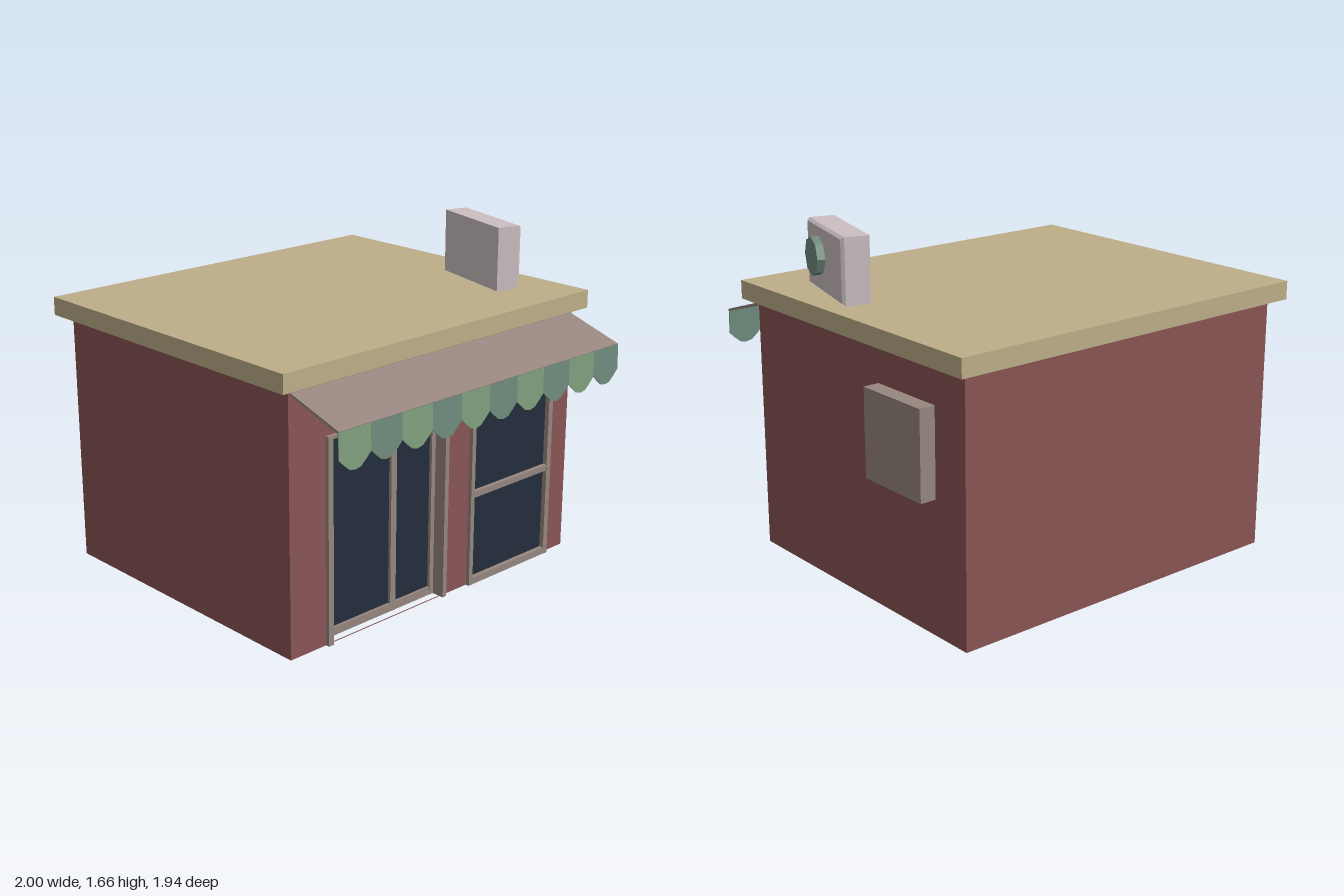
import * as THREE from 'three';

const mat = (name, color, side = THREE.FrontSide) => {
  const m = new THREE.MeshStandardMaterial({ color, side });
  m.name = name;
  return m;
};

export function createModel() {
  const D = THREE.DoubleSide;
  const brick = mat('brick red', 0x8a5455, D);
  const tan = mat('roof tan', 0xbdae88);
  const taupe = mat('taupe trim', 0x96867f);
  const glass = mat('dark glass', 0x222d3b);
  const lightGreen = mat('light green', 0x7f9e7b, D);
  const greyGreen = mat('grey green', 0x6f8b7d, D);
  const pale = mat('pale metal', 0xcbbec0);

  const model = new THREE.Group();
  model.name = 'shop';

  const add = (parent, name, geometry, material) => {
    const mesh = new THREE.Mesh(geometry, material);
    mesh.name = name;
    parent.add(mesh);
    return mesh;
  };
  // Box given by its lower and upper limits on each axis
  const box = (parent, name, material, x0, x1, y0, y1, z0, z1) => {
    const g = new THREE.BoxGeometry(x1 - x0, y1 - y0, z1 - z0);
    g.translate((x0 + x1) / 2, (y0 + y1) / 2, (z0 + z1) / 2);
    return add(parent, name, g, material);
  };
  const group = (name) => {
    const g = new THREE.Group();
    g.name = name;
    model.add(g);
    return g;
  };
  const trace = (path, x0, x1, y0, y1) =>
    path.moveTo(x0, y0).lineTo(x1, y0).lineTo(x1, y1).lineTo(x0, y1).closePath();

  // Thin walls, open underneath
  const L = -0.935, R = 0.92, F = 0.665, B = -0.91, H = 1.27;
  const walls = group('walls');
  const front = new THREE.Shape();
  trace(front, L, R, 0, H);
  for (const [a, b] of [[-0.71, 0.03], [0.21, 0.775]]) {
    const hole = new THREE.Path();
    trace(hole, a, b, 0.005, 0.99);
    front.holes.push(hole);
  }
  add(walls, 'frontWall', new THREE.ShapeGeometry(front), brick).position.z = F;
  const wall = (name, width, x, z, turn) => {
    const m = add(walls, name, new THREE.PlaneGeometry(width, H), brick);
    m.position.set(x, H / 2, z);
    m.rotation.y = turn;
  };
  wall('backWall', R - L, (L + R) / 2, B, Math.PI);
  wall('leftWall', F - B, R, (F + B) / 2, Math.PI / 2);
  wall('rightWall', F - B, L, (F + B) / 2, -Math.PI / 2);

  // Roof slab and wall box
  box(model, 'roof', tan, -1, 0.985, 1.26, 1.35, -0.97, 0.71);
  box(model, 'wallBox', taupe, R, 1, 0.645, 1.07, -0.705, -0.305);

  // Recessed door
  const door = group('door');
  box(door, 'doorJamb', taupe, -0.725, -0.695, 0, 1, 0.59, 0.685);
  box(door, 'doorJamb', taupe, 0.015, 0.04, 0, 1, 0.59, 0.685);
  box(door, 'doorLintel', taupe, -0.695, 0.015, 0.985, 1, 0.59, 0.685);
  for (const [a, b] of [[-0.695, -0.66], [-0.275, -0.24], [-0.01, 0.015]]) {
    box(door, 'doorStile', taupe, a, b, 0, 0.985, 0.59, 0.62);
  }
  for (const [a, b] of [[0, 0.04], [0.96, 0.985]]) {
    box(door, 'doorRail', taupe, -0.66, -0.01, a, b, 0.59, 0.619);
  }
  box(door, 'doorGlass', glass, -0.695, 0.015, 0.01, 0.98, 0.587, 0.605);

  // Two-pane window
  const win = group('window');
  for (const [a, b] of [[0.2, 0.225], [0.755, 0.785]]) {
    box(win, 'windowPost', taupe, a, b, 0, 1, 0.635, 0.685);
  }
  for (const [a, b] of [[0, 0.035], [0.455, 0.485], [0.975, 1]]) {
    box(win, 'windowBar', taupe, 0.225, 0.755, a, b, 0.635, 0.684);
  }
  box(win, 'windowGlass', glass, 0.215, 0.77, 0.01, 0.985, 0.652, 0.661);

  // Sloping awning with a scalloped edge in alternating colours
  const awning = group('awning');
  const rise = 0.095, run = 0.3;
  const cover = add(awning, 'awningCover',
    new THREE.BoxGeometry(1.835, 0.012, Math.hypot(rise, run)), taupe);
  cover.position.set(-0.004, 1.187, 0.81);
  cover.rotation.x = Math.atan2(rise, run);
  const count = 10, w = 1.84 / count;
  for (let i = 0; i < count; i++) {
    const s = new THREE.Shape();
    s.moveTo(0, 0).lineTo(0, -0.125);
    for (const [u, v] of [[0.14, -0.15], [0.32, -0.178], [0.5, -0.185], [0.68, -0.178], [0.86, -0.15]]) {
      s.lineTo(u * w, v);
    }
    s.lineTo(w, -0.125).lineTo(w, 0).closePath();
    const g = new THREE.ExtrudeGeometry(s, { depth: 0.005, bevelEnabled: false });
    const flap = add(awning, 'scallop', g, i % 2 ? greyGreen : lightGreen);
    flap.position.set(-0.924 + i * w, 1.145, 0.956);
    flap.rotation.x = -0.025;
  }

  // Turned cooling unit on the roof: body, tapered front panel, octagonal fan
  const unit = group('coolingUnit');
  unit.position.set(0.767, 1.35, 0.205);
  unit.rotation.y = -0.27;
  box(unit, 'unitBody', pale, -0.067, 0.052, -0.005, 0.315, -0.244, 0.244);
  const panel = new THREE.BoxGeometry(0.015, 0.315, 0.488);
  const p = panel.attributes.position;
  for (let i = 0; i < p.count; i++) {
    if (p.getX(i) > 0) {
      p.setY(i, p.getY(i) * 0.93);
      p.setZ(i, p.getZ(i) * 0.955);
    }
  }
  panel.computeVertexNormals();
  add(unit, 'unitPanel', panel, pale).position.set(0.0595, 0.1575, 0);
  const fan = new THREE.CylinderGeometry(0.092, 0.092, 0.04, 8).toNonIndexed();
  fan.computeVertexNormals();
  fan.rotateZ(-Math.PI / 2);
  add(unit, 'unitFan', fan, greyGreen).position.set(0.085, 0.168, 0.075);

  return model;
}
